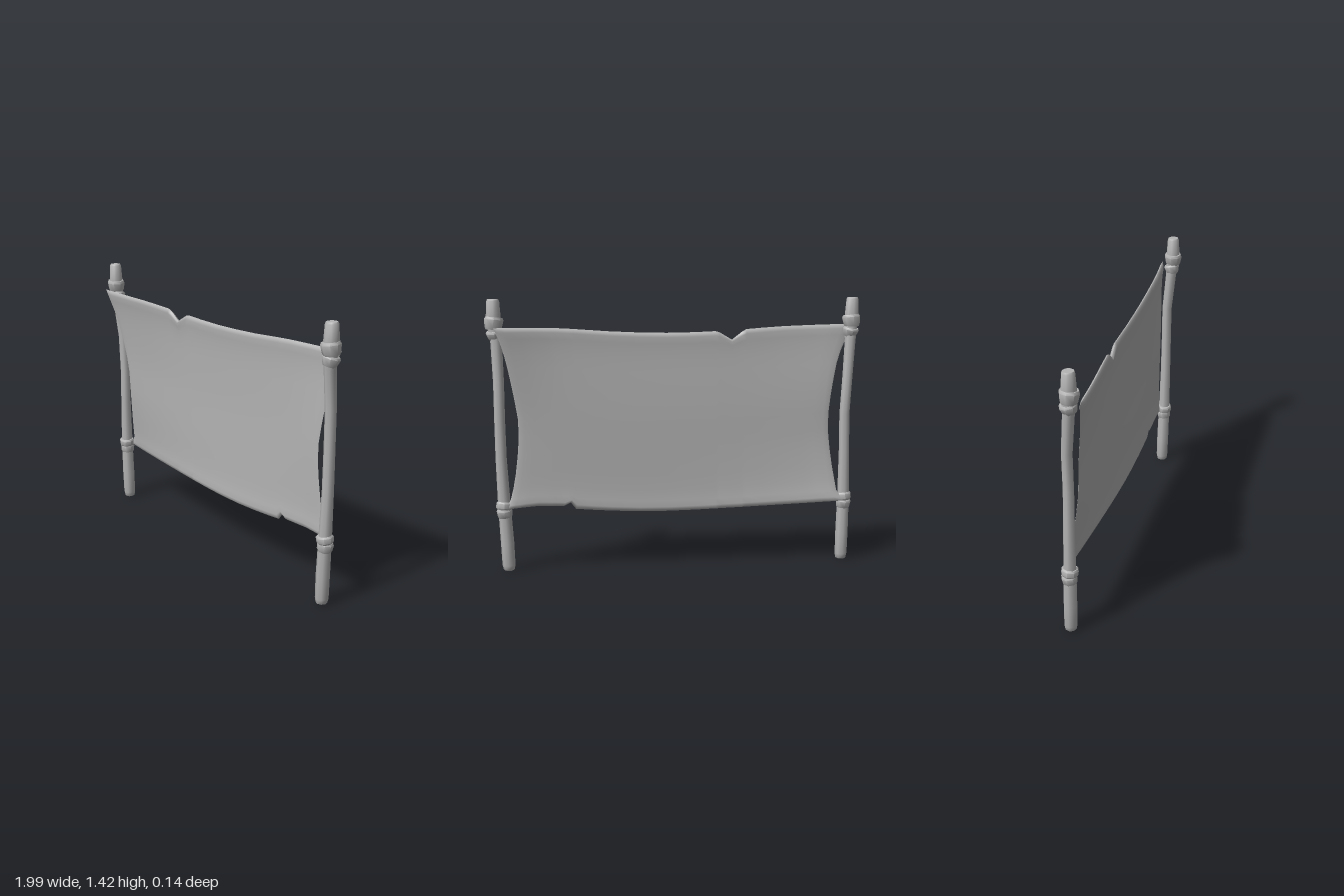
import * as THREE from 'three';
import { toCreasedNormals } from 'three/addons/utils/BufferGeometryUtils.js';

const gray = new THREE.MeshStandardMaterial({ color: 0xb4b4b4 });
gray.name = 'plain gray';
const clothGray = gray;

// piecewise-linear lookup in a list of [key, value]
function lookup(list, k) {
  for (let i = 1; i < list.length; i++) {
    const [a, va] = list[i - 1], [b, vb] = list[i];
    if (k <= b) return va + (vb - va) * Math.max(0, (k - a) / (b - a));
  }
  return list[list.length - 1][1];
}

// smooth lookup through the same kind of list
function smooth(list) {
  const curve = new THREE.SplineCurve(list.map(p => new THREE.Vector2(...p)));
  const pts = curve.getPoints(60).map(p => [p.x, p.y]);
  return k => lookup(pts, k);
}

// crooked post: rows of [x, y, z, radius] from the top down
function makePost(rows) {
  const n = rows.length - 1;
  const geo = new THREE.CylinderGeometry(1, 1, 1, 8, n);
  const p = geo.attributes.position;
  for (let i = 0; i < p.count; i++) {
    const [x, y, z, r] = rows[Math.round((0.5 - p.getY(i)) * n)];
    p.setXYZ(i, x + p.getX(i) * r, y, z + p.getZ(i) * r);
  }
  return new THREE.Mesh(toCreasedNormals(geo, 0.9), gray);
}

// rope band: a rounded collar, tilted round the post
function makeBand(name, x, y, z, rTop, rBottom, height, tiltX, tiltZ) {
  const h = height / 2;
  const profile = [[0.02, -h], [rBottom - 0.006, -h], [rBottom, -h * 0.6],
    [rTop, h * 0.6], [rTop - 0.006, h], [0.02, h]];
  const geo = new THREE.LatheGeometry(profile.map(q => new THREE.Vector2(...q)), 8);
  const mesh = new THREE.Mesh(toCreasedNormals(geo, 0.9), gray);
  mesh.position.set(x, y, z);
  mesh.rotation.set(tiltX, 0, tiltZ);
  mesh.name = name;
  return mesh;
}

// sagging cloth with two torn nicks, concave sides and thick hems
function makeCloth() {
  const left = smooth([[0, -0.93], [0.04, -0.88], [0.1, -0.865], [0.3, -0.838], [0.5, -0.832],
    [0.78, -0.88], [0.92, -0.935], [1, -0.97]]);
  const right = smooth([[0, 0.93], [0.04, 0.885], [0.2, 0.85], [0.42, 0.83], [0.55, 0.84],
    [0.8, 0.885], [0.93, 0.92], [1, 0.95]]);
  const top = smooth([[-1, 1.28], [-0.6, 1.272], [-0.3, 1.255], [0, 1.245], [0.3, 1.253], [0.65, 1.276], [1, 1.28]]);
  const bottom = smooth([[-1, 0.33], [-0.5, 0.312], [0, 0.297], [0.3, 0.304], [0.6, 0.328], [0.75, 0.346], [1, 0.33]]);
  const topNick = [[-0.38, 0], [-0.355, -0.012], [-0.3, -0.05], [-0.23, -0.006], [-0.21, 0]];
  const bottomNick = [[0.55, 0], [0.58, 0.032], [0.62, 0.01], [0.66, 0.006], [0.7, 0]];
  // depth along the top hem, the middle and the bottom hem
  const zTop = smooth([[-1, 0.058], [-0.7, 0.04], [-0.3, 0], [0, -0.013], [0.6, -0.027], [0.85, -0.045], [1, -0.062]]);
  const zMid = smooth([[-1, -0.005], [-0.5, -0.025], [0, -0.036], [0.5, -0.038], [1, -0.04]]);
  const zBottom = smooth([[-1, -0.065], [-0.6, -0.052], [0, -0.042], [0.6, -0.046], [1, -0.06]]);
  const thickness = v => lookup([[0, 0], [0.008, 0.008], [0.025, 0.012], [0.06, 0.008], [0.12, 0.005],
    [0.85, 0.005], [0.94, 0.009], [0.975, 0.013], [0.992, 0.009], [1, 0]], v);

  const xs = [-1, -0.985, -0.94, -0.85, -0.75, -0.6, -0.48, -0.38, -0.355, -0.3, -0.23, -0.21, -0.1, 0.05,
    0.2, 0.35, 0.46, 0.55, 0.58, 0.62, 0.66, 0.7, 0.78, 0.86, 0.94, 0.985, 1];
  const vs = [0, 0.008, 0.025, 0.06, 0.12, 0.2, 0.3, 0.4, 0.5, 0.6, 0.7, 0.78, 0.85, 0.9, 0.94, 0.975, 0.992, 1];
  const pos = [], index = [];
  const nu = xs.length, nv = vs.length;
  for (const side of [1, -1]) for (const v of vs) for (const s of xs) {
    // s matches x on the hems and is squeezed in by the concave sides
    const l = left(v), r = right(v);
    const x = s < 0 ? s * THREE.MathUtils.lerp(1, -l, s * s) : s * THREE.MathUtils.lerp(1, r, s * s);
    const y = THREE.MathUtils.lerp(bottom(s) + lookup(bottomNick, s) * (1 - v) ** 10,
      top(s) + lookup(topNick, s) * v ** 10, v);
    const z = v > 0.5 ? THREE.MathUtils.lerp(zMid(s), zTop(s), (2 * v - 1) ** 1.4)
      : THREE.MathUtils.lerp(zMid(s), zBottom(s), (1 - 2 * v) ** 1.6);
    const t = thickness(v) * Math.min(1, (1 - Math.abs(s)) / 0.03);
    pos.push(x, y, z + side * t);
  }
  for (let k = 0; k < 2; k++) for (let j = 0; j < nv - 1; j++) for (let i = 0; i < nu - 1; i++) {
    const a = k * nu * nv + j * nu + i, b = a + 1, c = b + nu, d = a + nu;
    if (k === 0) index.push(a, b, c, a, c, d);
    else index.push(a, c, b, a, d, c);
  }
  const geo = new THREE.BufferGeometry();
  geo.setAttribute('position', new THREE.Float32BufferAttribute(pos, 3));
  geo.setIndex(index);
  geo.computeVertexNormals();
  const mesh = new THREE.Mesh(geo, clothGray);
  mesh.name = 'cloth';
  return mesh;
}

export function createModel() {
  const model = new THREE.Group();
  model.name = 'bannerOnPosts';

  // posts: x differs, height, depth and radius are shared
  const shared = [[1.425, 0, 0.028], [1.415, 0, 0.033], [1.32, 0, 0.039], [1.2, -0.008, 0.03], [1.0, -0.026, 0.028],
    [0.8, -0.027, 0.028], [0.6, -0.028, 0.029], [0.35, -0.03, 0.033], [0.15, -0.033, 0.035],
    [0.03, -0.035, 0.034], [0.005, -0.035, 0.029], [0, -0.035, 0.02]];
  const postX = {
    right: [-0.953, -0.953, -0.95, -0.943, -0.927, -0.915, -0.917, -0.917, -0.912, -0.909, -0.908, -0.908],
    left: [0.948, 0.948, 0.947, 0.935, 0.928, 0.927, 0.924, 0.913, 0.901, 0.896, 0.895, 0.895],
  };
  for (const side of ['right', 'left']) {
    const post = makePost(shared.map(([y, z, r], i) => [postX[side][i], y, z, r]));
    post.name = side + 'Post';
    model.add(post);

    // two rope bands at each end of the cloth
    const m = side === 'left' ? 1 : -1;
    const upper = m > 0 ? 0.947 : -0.95, lower = m > 0 ? 0.912 : -0.917;
    model.add(
      makeBand(side + 'UpperBand', upper, 1.3, 0, 0.05, 0.044, 0.065, 0.06, m * 0.1),
      makeBand(side + 'UpperLoop', upper - m * 0.006, 1.24, -0.004, 0.045, 0.036, 0.05, -0.2, -m * 0.15),
      makeBand(side + 'LowerBand', lower, 0.348, -0.03, 0.044, 0.043, 0.042, 0.1, m * 0.08),
      makeBand(side + 'LowerLoop', lower, 0.308, -0.032, 0.041, 0.038, 0.05, -0.12, -m * 0.1),
    );
  }

  model.add(makeCloth());
  return model;
}
